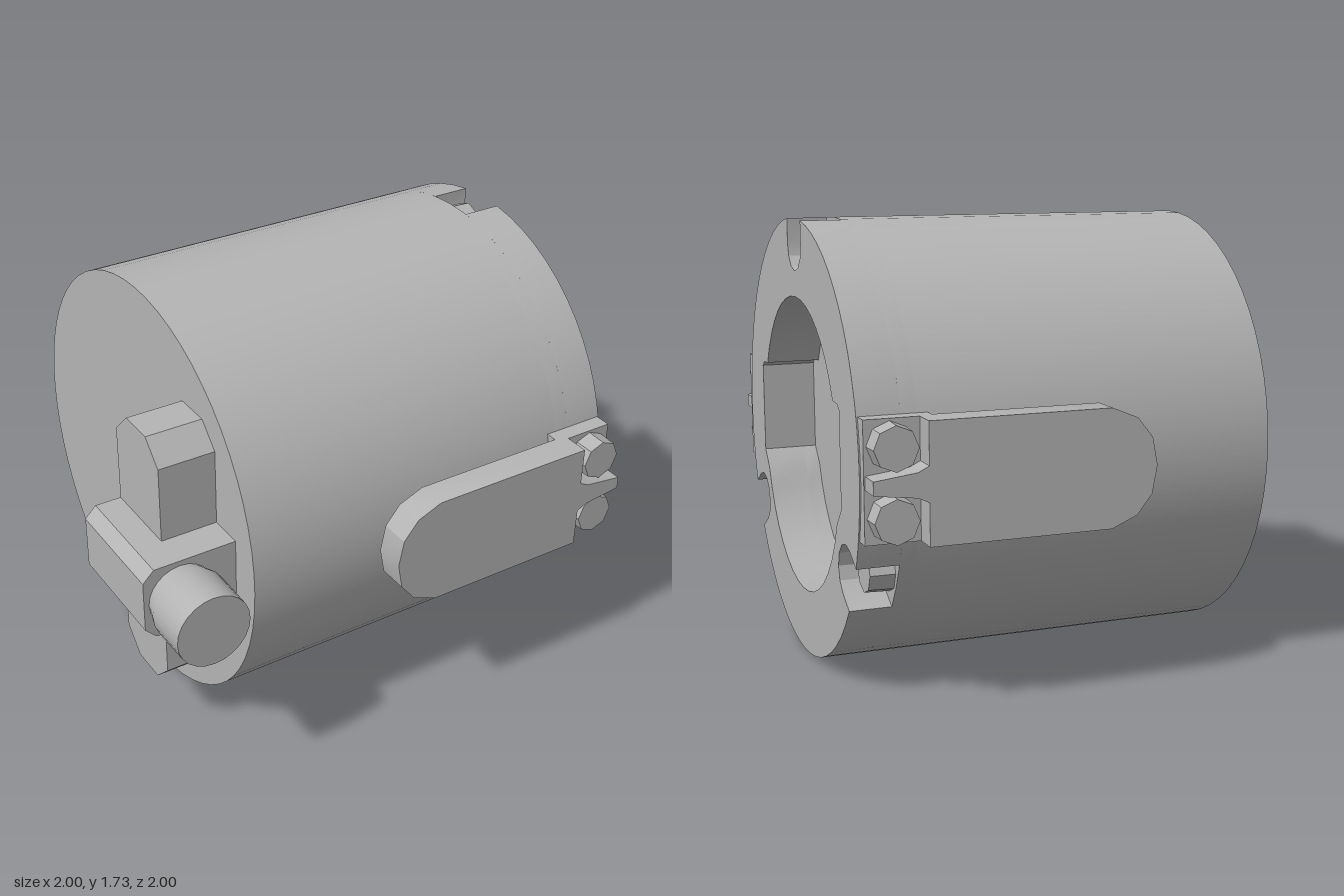
import * as THREE from 'three';
import { toCreasedNormals } from 'three/addons/utils/BufferGeometryUtils.js';

const R = 0.865, CY = 0.867;

export function createModel() {
  const root = new THREE.Group();
  const grey = new THREE.MeshStandardMaterial({ color: 0xb4b4b4 });
  grey.name = 'plain grey';

  const add = (name, geo, parent = root) => {
    const m = new THREE.Mesh(geo, grey);
    m.name = name;
    parent.add(m);
    return m;
  };
  const polygon = (pts) => new THREE.Shape(pts.map(([a, b]) => new THREE.Vector2(a, b)));
  const extrude = (shape, from, to) => {
    const g = new THREE.ExtrudeGeometry(shape, { depth: to - from, bevelEnabled: false });
    g.translate(0, 0, from);
    return toCreasedNormals(g, 0.45);
  };
  // Extrusion along x; the shape is drawn in (-z, y)
  const extrudeX = (shape, from, to) => extrude(shape, from, to).rotateY(Math.PI / 2);

  // Round outline with optional U-shaped bolt notches
  const notchAngles = [90, 209.5, 330.5].map(THREE.MathUtils.degToRad);
  const NR = 0.765, NW = 0.105;
  const rim = Math.sqrt(R * R - NW * NW), half = Math.asin(NW / R);
  const discOutline = (notched) => {
    const pts = [];
    if (!notched) {
      for (let i = 0; i < 60; i++) {
        const a = (i / 60) * Math.PI * 2;
        pts.push([R * Math.cos(a), CY + R * Math.sin(a)]);
      }
      return pts;
    }
    notchAngles.forEach((a, i) => {
      const put = (r, t) => pts.push([
        r * Math.cos(a) - t * Math.sin(a),
        CY + r * Math.sin(a) + t * Math.cos(a)]);
      put(rim, -NW);
      for (let k = 0; k <= 6; k++) {
        const b = (k / 6) * Math.PI;
        put(NR - NW * Math.sin(b), -NW * Math.cos(b));
      }
      put(rim, NW);
      const next = i < 2 ? notchAngles[i + 1] : notchAngles[0] + Math.PI * 2;
      const s = a + half, e = next - half;
      for (let k = 1; k < 18; k++) {
        const b = s + ((e - s) * k) / 18;
        pts.push([R * Math.cos(b), CY + R * Math.sin(b)]);
      }
    });
    return pts;
  };

  // Recess: a round opening with square shoulders at the sides
  const recess = () => {
    const pts = [];
    const arc = (from, to, n) => {
      for (let i = 0; i <= n; i++) {
        const a = THREE.MathUtils.degToRad(from + ((to - from) * i) / n);
        pts.push([0.585 * Math.cos(a), 0.842 + 0.585 * Math.sin(a)]);
      }
    };
    pts.push([0.615, 0.71], [0.615, 1.075], [0.59, 1.095]);
    arc(26, 154, 16);
    pts.push([-0.59, 1.095], [-0.615, 1.075], [-0.615, 0.71]);
    arc(200, 340, 16);
    return new THREE.Path(pts.map(([a, b]) => new THREE.Vector2(a, b)));
  };

  // Drum body in three layers
  const layer = (name, from, to, notched, open) => {
    const s = polygon(discOutline(notched));
    if (open) s.holes.push(recess());
    add(name, extrudeX(s, from, to));
  };
  layer('drumBody', -0.62, 0.78, false, false);
  layer('recessRing', 0.78, 0.84, false, true);
  layer('notchedRim', 0.84, 1.0, true, true);

  // Bolts in the rim notches
  const boltGeo = (h) => {
    const g = new THREE.CylinderGeometry(0.082, 0.086, h, 8).toNonIndexed();
    g.computeVertexNormals();
    return g;
  };
  notchAngles.forEach((a) => {
    const b = add('rimBolt', boltGeo(0.1));
    b.rotation.z = -Math.PI / 2;
    b.position.set(0.885, CY + NR * Math.sin(a), -NR * Math.cos(a));
  });

  // Side plates with bolt pockets, on the front and turned over for the back
  const end = [[-0.06, 0.105], [0.0, 0.18], [0.1, 0.222]];
  const top = [...end, [0.79, 0.222], [0.79, 0.065], [0.83, 0.045], [0.99, 0.025]];
  const plateOutline = [[-0.08, 0], ...top,
    ...top.slice().reverse().map(([x, y]) => [x, -y])].reverse();
  for (const turn of [0, Math.PI]) {
    const side = new THREE.Group();
    side.name = turn ? 'backLug' : 'frontLug';
    side.position.y = CY;
    side.rotation.x = turn;
    root.add(side);
    add('plate', extrude(polygon(plateOutline), 0.88, 1.0), side);
    add('pocketFloor', new THREE.BoxGeometry(0.22, 0.444, 0.022), side)
      .position.set(0.885, 0, 0.89);
    add('mountPad', new THREE.BoxGeometry(0.255, 0.444, 0.1), side)
      .position.set(0.8675, 0, 0.832);
    for (const s of [-1, 1]) {
      const b = add('plateBolt', boltGeo(0.09), side);
      b.rotation.x = Math.PI / 2;
      b.position.set(0.9, s * 0.128, 0.937);
    }
  }

  // Upright block on the end cap, corners chamfered
  const chamfered = (a0, a1, b0, b1, c, d) => polygon([
    [a0 + c, b0], [a1 - c, b0], [a1, b0 + d], [a1, b1 - d],
    [a1 - c, b1], [a0 + c, b1], [a0, b1 - d], [a0, b0 + d]]);
  add('endBlock', extrudeX(chamfered(-0.59, -0.26, 0.315, 1.42, 0.09, 0.09), -0.85, -0.6));

  // Connector arm, chamfered on its outer edges
  add('connectorArm', extrude(polygon([
    [-0.955, 0.72], [-0.6, 0.72], [-0.6, 1.02], [-0.955, 1.02],
    [-1, 0.975], [-1, 0.765]]), 0.26, 0.73));

  // Round connector plug with a tapered neck
  const profile = [[0, 0.72], [0.13, 0.72], [0.13, 0.735], [0.15, 0.8], [0.147, 0.975], [0, 0.975]];
  const plug = toCreasedNormals(new THREE.LatheGeometry(
    profile.map(([r, h]) => new THREE.Vector2(r, h)), 24), 0.5);
  const p = add('connectorPlug', plug);
  p.rotation.x = Math.PI / 2;
  p.position.set(-0.85, 0.87, 0);

  return root;
}
